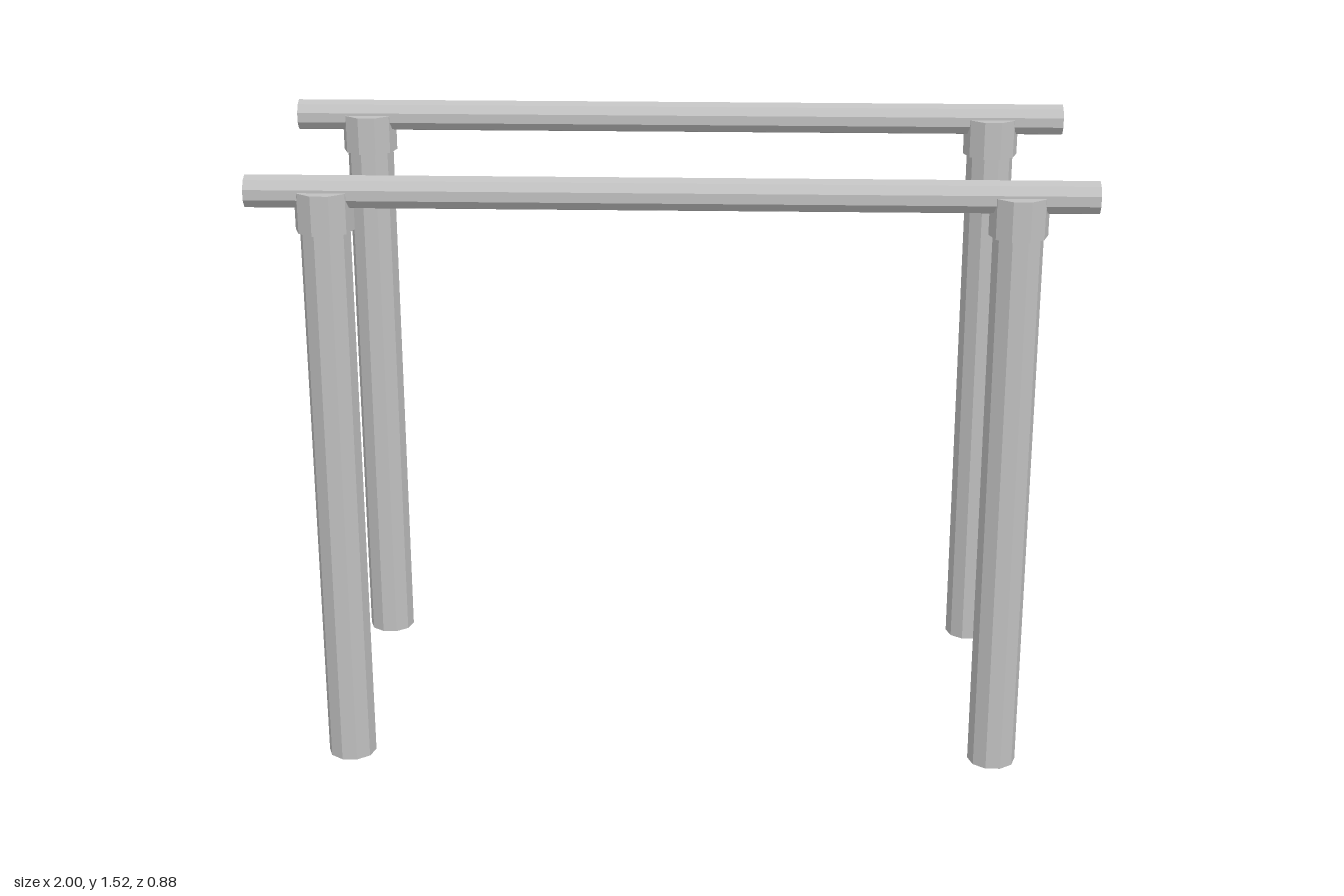
import * as THREE from 'three';

export function createModel() {
  const model = new THREE.Group();
  model.name = 'parallelBars';

  const metal = new THREE.MeshStandardMaterial({ color: 0xc0c0c0, flatShading: true });
  metal.name = 'grey metal';

  const SIDES = 10;
  const postX = 0.816, barZ = 0.371, railY = 1.48;
  const collarBottom = 1.388, collarTop = 1.486;

  // Upright ten-sided tube with corners facing +x and -x
  const upright = (radius, bottom, top) =>
    new THREE.CylinderGeometry(radius, radius, top - bottom, SIDES)
      .rotateY(Math.PI / 2)
      .translate(0, (bottom + top) / 2, 0);

  const postGeometry = upright(0.06, 0, collarBottom + 0.02);
  const collarGeometry = upright(0.07, collarBottom, collarTop);

  // Rail along x with corners facing straight up and down
  const railGeometry = new THREE.CylinderGeometry(0.04, 0.04, 2, SIDES)
    .rotateY(Math.PI / 2)
    .rotateZ(Math.PI / 2);

  const add = (parent, name, geometry, x, y) => {
    const mesh = new THREE.Mesh(geometry, metal);
    mesh.name = name;
    mesh.position.set(x, y, 0);
    parent.add(mesh);
  };

  // Two matching bars, each a rail on two collared posts
  for (const [end, sz] of [['front', 1], ['back', -1]]) {
    const bar = new THREE.Group();
    bar.name = `${end}Bar`;
    bar.position.z = sz * barZ;
    add(bar, `${end}Rail`, railGeometry, 0, railY);
    for (const [side, sx] of [['Left', 1], ['Right', -1]]) {
      add(bar, `${end}${side}Post`, postGeometry, sx * postX, 0);
      add(bar, `${end}${side}Collar`, collarGeometry, sx * postX, 0);
    }
    model.add(bar);
  }

  return model;
}
